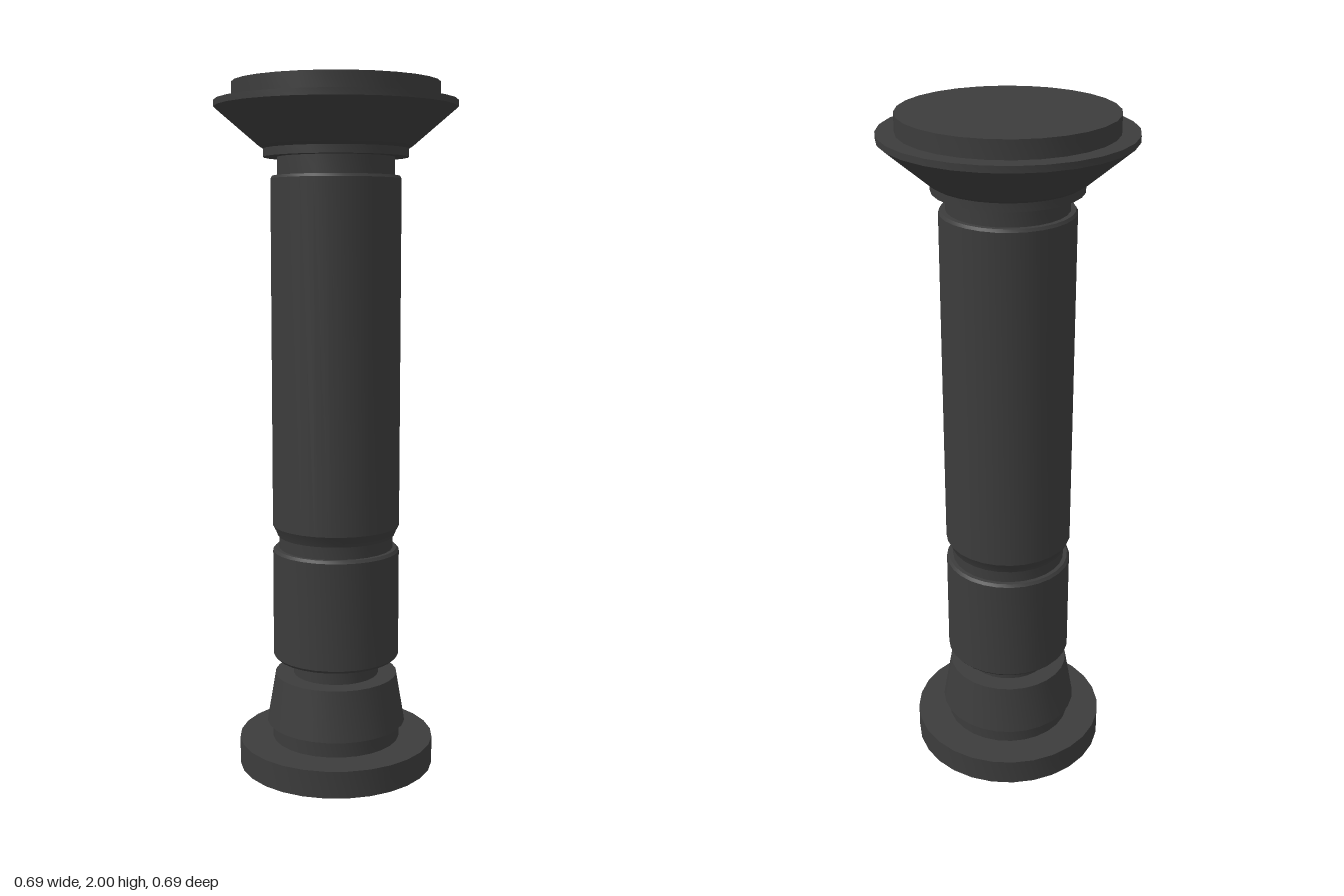
import * as THREE from 'three';
import { toCreasedNormals } from 'three/addons/utils/BufferGeometryUtils.js';

const SIDES = 28;

export function createModel() {
  const column = new THREE.Group();
  column.name = 'column';
  const stone = new THREE.MeshStandardMaterial({ color: 0x3c3c3c });

  // Closed turned part from [radius, height] pairs, listed bottom to top
  function turned(name, profile) {
    const points = [[0, profile[0][1]], ...profile, [0, profile.at(-1)[1]]]
      .map(([r, y]) => new THREE.Vector2(r, y));
    const geometry = toCreasedNormals(new THREE.LatheGeometry(points, SIDES), 0.45);
    const mesh = new THREE.Mesh(geometry, stone);
    mesh.name = name;
    column.add(mesh);
  }

  // Foot: round plinth, short collar and tapered drum
  turned('plinth', [[0.29, 0], [0.29, 0.08]]);
  turned('baseCollar', [[0.19, 0.08], [0.19, 0.13]]);
  turned('taperedDrum', [[0.207, 0.13], [0.182, 0.277]]);
  turned('baseNeck', [[0.127, 0.277], [0.127, 0.33]]);

  // Shaft: lower drum, groove and long upper drum
  turned('lowerShaft', [[0.18, 0.33], [0.187, 0.338], [0.187, 0.655], [0.18, 0.663]]);
  turned('shaftGroove', [[0.168, 0.663], [0.168, 0.7]]);
  turned('upperShaft', [[0.172, 0.7], [0.178, 0.715], [0.187, 0.732], [0.187, 1.735], [0.182, 1.743]]);
  turned('topNeck', [[0.168, 1.743], [0.168, 1.795]]);

  // Capital: ring, flare with thin rim, and top disc
  turned('capital', [
    [0.207, 1.795], [0.207, 1.818], [0.222, 1.828],
    [0.345, 1.932], [0.345, 1.95],
  ]);
  turned('topDisc', [[0.295, 1.95], [0.295, 2]]);

  return column;
}
